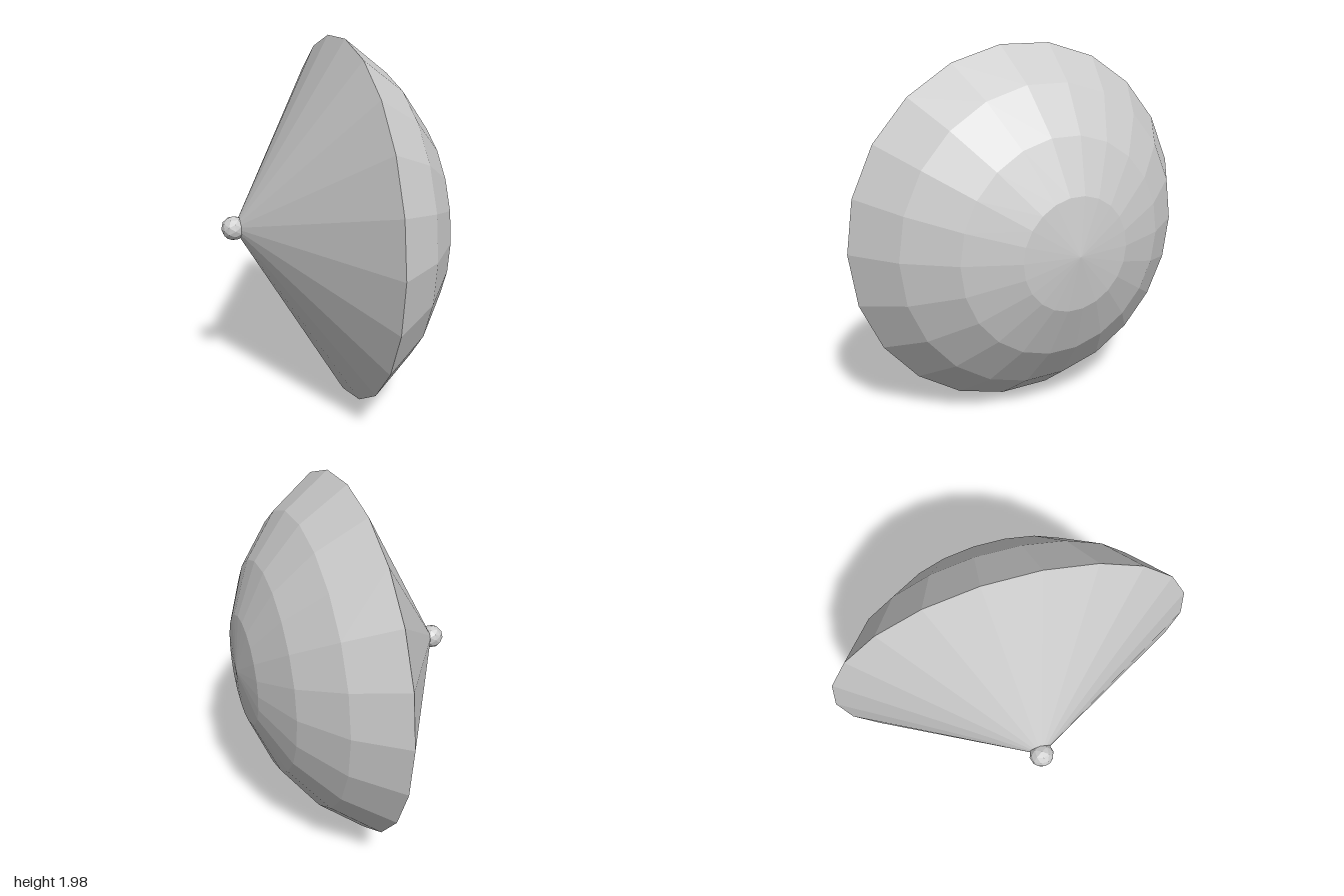
import * as THREE from 'three';

const SIDES = 22;
const CAP_ANGLE = Math.PI / 3; // half angle of the dome's arc
const RIM_RADIUS = 1;
const RIM_X = 0.033;
const TIP_X = -0.544;

export function createModel() {
  const model = new THREE.Group();
  model.name = 'dishWithFeed';
  const material = new THREE.MeshStandardMaterial({ color: 0xcccccc, flatShading: true });
  const centreY = RIM_RADIUS * Math.cos(Math.PI / SIDES);

  // Turns a (radius, x) profile about the x axis, with a corner at +z
  const addTurned = (name, points) => {
    const geometry = new THREE.LatheGeometry(points, SIDES).rotateZ(-Math.PI / 2);
    const mesh = new THREE.Mesh(geometry, material);
    mesh.name = name;
    mesh.position.y = centreY;
    model.add(mesh);
  };

  // Dome: a spherical cap in four rings, bulging towards +x
  const R = RIM_RADIUS / Math.sin(CAP_ANGLE);
  const dome = [];
  for (let i = 4; i >= 0; i--) {
    const a = (CAP_ANGLE * i) / 4;
    dome.push(new THREE.Vector2(R * Math.sin(a), RIM_X + R * (Math.cos(a) - Math.cos(CAP_ANGLE))));
  }
  addTurned('dome', dome);

  // Cone from the tip out to the shared rim
  addTurned('cone', [new THREE.Vector2(0, TIP_X), new THREE.Vector2(RIM_RADIUS, RIM_X)]);

  // Faceted ball at the cone's tip
  const ball = new THREE.Mesh(new THREE.IcosahedronGeometry(0.066, 1), material);
  ball.name = 'tipBall';
  ball.position.set(TIP_X, centreY, 0);
  model.add(ball);

  return model;
}
